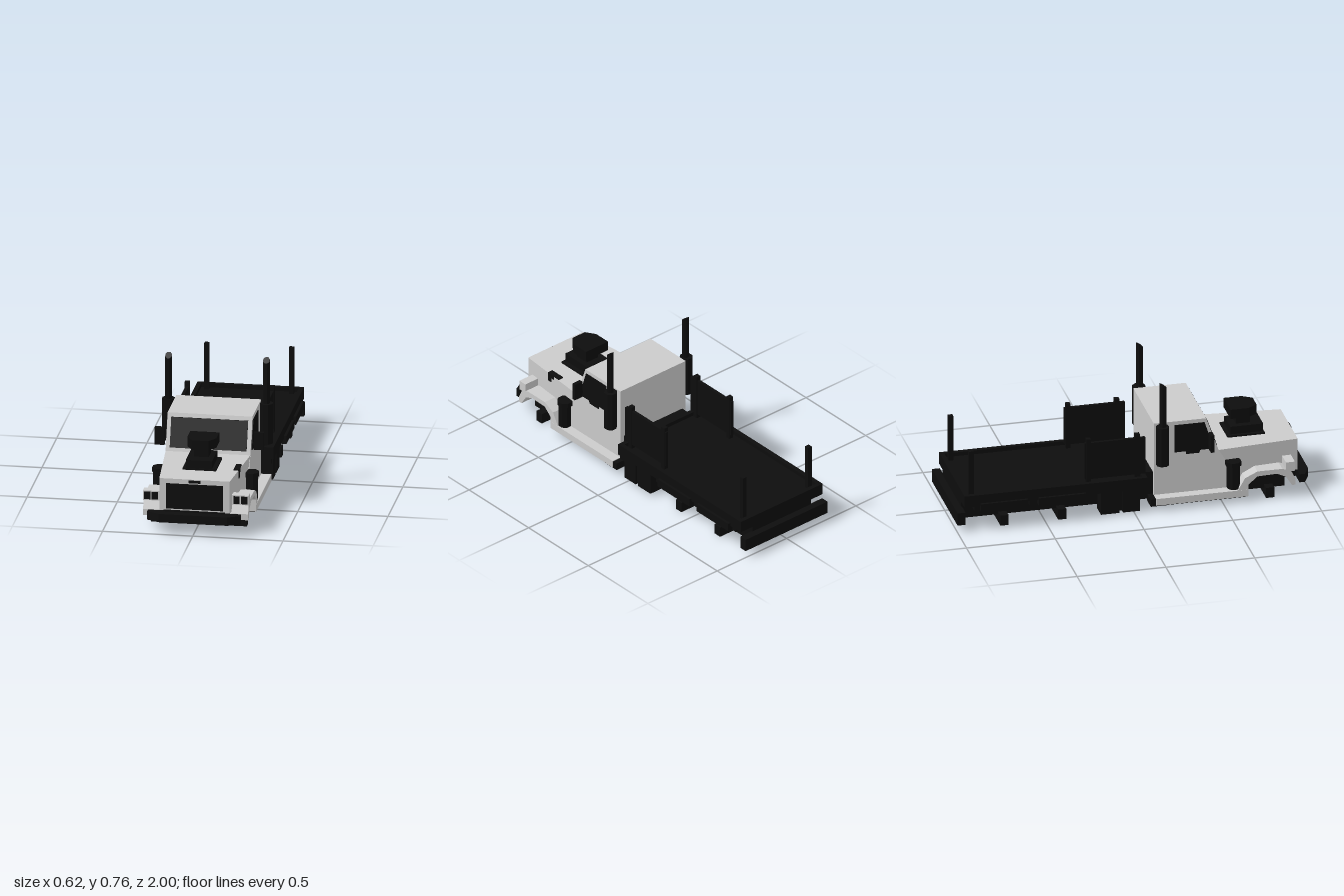
import * as THREE from 'three';

const grey = new THREE.MeshStandardMaterial({ color: 0xcccccc, flatShading: true });
const black = new THREE.MeshStandardMaterial({ color: 0x0d0d0d, flatShading: true });

export function createModel() {
  const truck = new THREE.Group();

  const add = (name, geo, mat) => {
    const mesh = new THREE.Mesh(geo, mat);
    mesh.name = name;
    truck.add(mesh);
    return mesh;
  };
  // Box given by its limits on each axis
  const box = (name, x0, x1, y0, y1, z0, z1, mat = black) => {
    const g = new THREE.BoxGeometry(x1 - x0, y1 - y0, z1 - z0);
    g.translate((x0 + x1) / 2, (y0 + y1) / 2, (z0 + z1) / 2);
    return add(name, g, mat);
  };
  // Side profile of [z, y] points, extruded from x0 to x1
  const profile = (name, pts, x0, x1, mat) => {
    const shape = new THREE.Shape(pts.map(([z, y]) => new THREE.Vector2(z, y)));
    const g = new THREE.ExtrudeGeometry(shape, { depth: x1 - x0, bevelEnabled: false });
    g.rotateY(-Math.PI / 2).translate(x1, 0, 0);
    return add(name, g, mat);
  };
  // Plan outline of [x, z] points, extruded from y0 to y1
  const plan = (name, pts, y0, y1, mat) => {
    const shape = new THREE.Shape(pts.map(([x, z]) => new THREE.Vector2(x, -z)));
    const g = new THREE.ExtrudeGeometry(shape, { depth: y1 - y0, bevelEnabled: false });
    g.rotateX(-Math.PI / 2).translate(0, y0, 0);
    return add(name, g, mat);
  };
  // Upright eight-sided tube, flat sides facing the axes
  const tube = (name, x, z, r, y0, y1) => {
    const g = new THREE.CylinderGeometry(r / Math.cos(Math.PI / 8), r / Math.cos(Math.PI / 8), y1 - y0, 8);
    g.rotateY(Math.PI / 8).translate(x, (y0 + y1) / 2, z);
    return add(name, g, black);
  };
  // The same box on both sides, from x0 to x1 away from the middle
  const pair = (name, x0, x1, ...rest) => {
    box(name + 'Left', x0, x1, ...rest);
    box(name + 'Right', -x1, -x0, ...rest);
  };
  const pairProfile = (name, pts, x0, x1, mat) => {
    profile(name + 'Left', pts, x0, x1, mat);
    profile(name + 'Right', pts, -x1, -x0, mat);
  };

  // Cab
  profile('cab', [[0.12, 0.035], [0.64, 0.035], [0.6, 0.12], [0.485, 0.305], [0.415, 0.505], [0.12, 0.505]],
    -0.235, 0.235, grey);
  pairProfile('sideWindow', [[0.235, 0.32], [0.3, 0.32], [0.3, 0.303], [0.375, 0.303], [0.38, 0.32],
    [0.44, 0.32], [0.445, 0.36], [0.405, 0.483], [0.235, 0.483]], 0.233, 0.239, black);
  const slope = (y, out) => [0.485 - 0.35 * (y - 0.305) + out, y];
  profile('windshield', [slope(0.325, -0.004), slope(0.325, 0.004), slope(0.483, 0.004), slope(0.483, -0.004)],
    -0.213, 0.213, black);
  pair('sideStep', 0.2, 0.292, 0.035, 0.075, 0.12, 0.64, grey);
  box('cabFloor', -0.285, 0.285, 0.03, 0.037, 0.125, 0.635);

  // Hood, narrowing to the front
  const hood = new THREE.BoxGeometry(0.47, 0.185, 0.46).translate(0, 0.2125, 0.71);
  const hp = hood.attributes.position;
  for (let i = 0; i < hp.count; i++) {
    if (hp.getZ(i) > 0.7) hp.setX(i, Math.sign(hp.getX(i)) * 0.195);
  }
  add('hood', hood, grey);
  box('grille', -0.157, 0.157, 0.133, 0.278, 0.93, 0.944);
  box('hoodHandle', -0.033, 0.033, 0.286, 0.3, 0.93, 0.946);

  // Air intake on the hood
  box('intakePlate', -0.093, 0.093, 0.303, 0.315, 0.57, 0.78);
  box('intakeBase', -0.075, 0.07, 0.31, 0.36, 0.59, 0.775);
  box('intakeNeck', -0.04, 0.04, 0.355, 0.415, 0.63, 0.71);
  plan('intakeCap', [[-0.08, 0.59], [-0.08, 0.69], [-0.045, 0.745], [0.045, 0.745], [0.08, 0.69], [0.08, 0.59]],
    0.41, 0.465, black);
  box('exhaustPort', 0.185, 0.216, 0.285, 0.312, 0.66, 0.75);
  box('exhaustPortDrop', 0.2, 0.216, 0.26, 0.3, 0.725, 0.75);

  // Front fenders and headlights
  pairProfile('fender', [[0.905, 0.075], [0.905, 0.11], [0.88, 0.16], [0.83, 0.178], [0.69, 0.178], [0.62, 0.145],
    [0.58, 0.075], [0.64, 0.075], [0.64, 0.105], [0.69, 0.148], [0.8, 0.152], [0.85, 0.128], [0.885, 0.075]],
  0.19, 0.291, grey);
  pair('headlightHousing', 0.2, 0.293, 0.16, 0.215, 0.85, 0.9, grey);
  pair('innerHeadlight', 0.209, 0.244, 0.166, 0.209, 0.89, 0.903);
  pair('outerHeadlight', 0.251, 0.287, 0.166, 0.209, 0.89, 0.903);
  box('wheelWell', -0.215, 0.215, 0.04, 0.14, 0.63, 0.86);
  box('frontFrame', -0.17, 0.17, 0.07, 0.125, 0.85, 0.95);

  // Front bumper with swept corners
  plan('frontBumper', [[-0.258, 0.935], [-0.258, 0.965], [-0.19, 1], [0.19, 1], [0.258, 0.965], [0.258, 0.935]],
    0.07, 0.118, black);

  for (const s of [-1, 1]) {
    const side = s > 0 ? 'Left' : 'Right';
    // Air cleaner beside the hood
    tube('airCleaner' + side, s * 0.255, 0.563, 0.034, 0.08, 0.235);
    tube('airCleanerCap' + side, s * 0.252, 0.563, 0.042, 0.215, 0.24);
    // Muffler and exhaust stack with a slanted top
    tube('muffler' + side, s * 0.272, 0.16, 0.034, 0.27, 0.5);
    const stack = tube('exhaustStack' + side, s * 0.271, 0.163, 0.018, 0.49, 0.76);
    const p = stack.geometry.attributes.position;
    for (let i = 0; i < p.count; i++) {
      if (p.getY(i) > 0.7) p.setY(i, 0.76 - 0.7 * (p.getZ(i) - 0.145));
    }
    // Door mirror
    box('mirror' + side, s * 0.275 - 0.027, s * 0.275 + 0.027, 0.325, 0.425, 0.425, 0.446);
    box('mirrorArm' + side, s * 0.245 - 0.015, s * 0.245 + 0.015, 0.35, 0.362, 0.428, 0.44);
    // Fuel tank in two parts with a strap between
    const x = s * 0.24;
    box('fuelTankFront' + side, x - 0.045, x + 0.045, 0.012, 0.15, -0.065, 0.03);
    box('fuelTankRear' + side, x - 0.045, x + 0.045, 0.012, 0.15, -0.19, -0.085);
    box('fuelTankStrap' + side, x - 0.035, x + 0.035, 0.02, 0.15, -0.09, -0.06);
  }
  pair('rearStep', 0.2, 0.288, 0.03, 0.072, 0.09, 0.195);

  // Frame and flatbed with a raised rim
  box('frame', -0.21, 0.21, 0.045, 0.17, -0.96, 0.13);
  box('bedFrontFrame', -0.21, 0.21, 0.15, 0.205, 0.06, 0.125);
  box('bedFloor', -0.285, 0.285, 0.15, 0.19, -0.95, 0.065);
  pair('bedRim', 0.27, 0.295, 0.145, 0.212, -0.96, 0.07);
  box('bedRimFront', -0.295, 0.295, 0.145, 0.212, 0.045, 0.07);
  box('bedRimRear', -0.295, 0.295, 0.145, 0.212, -0.96, -0.935);
  box('rearBumper', -0.295, 0.295, 0.042, 0.115, -1, -0.955);

  // Cross beams under the bed
  for (const z of [-0.88, -0.57, -0.25, 0.05]) box('crossBeam', -0.28, 0.28, 0.11, 0.15, z - 0.02, z + 0.02);

  // Axles, and guard rails above the rear ones
  for (const z of [0.768, -0.403, -0.728]) box('axle', -0.265, 0.265, 0, 0.06, z - 0.023, z + 0.023);
  for (const z of [-0.412, -0.738]) pair('guardRail', 0.2, 0.31, 0.115, 0.162, z - 0.133, z + 0.133);

  // Stakes and side panels on the bed
  for (const z of [0.025, -0.25, -0.91]) pair('stake', 0.222, 0.248, 0.18, 0.457, z - 0.013, z + 0.013);
  pair('sidePanel', 0.226, 0.244, 0.215, 0.432, -0.27, 0.07);

  return truck;
}
